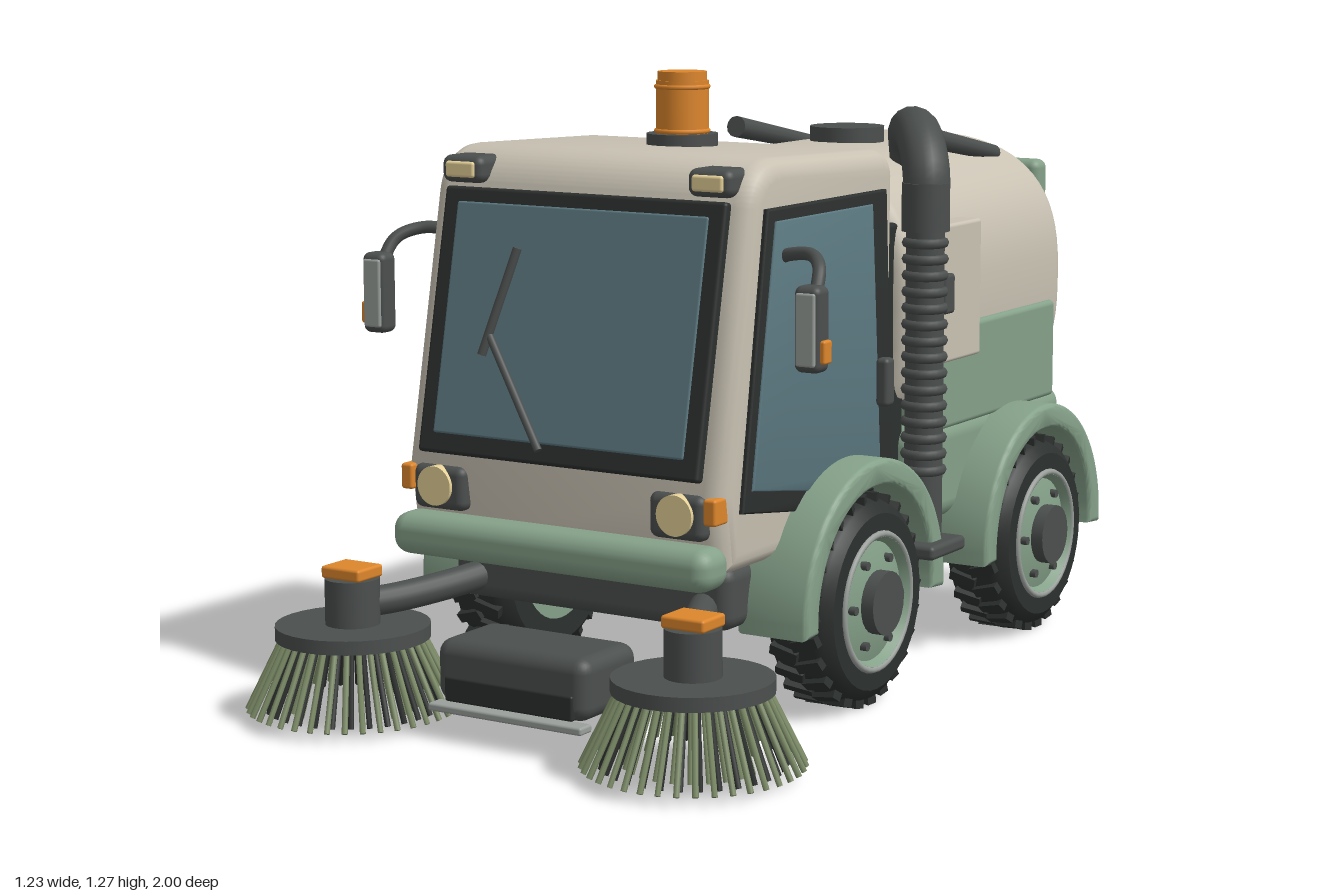
import * as THREE from 'three';
import { mergeGeometries, toCreasedNormals } from 'three/addons/utils/BufferGeometryUtils.js';
import { RoundedBoxGeometry } from 'three/addons/geometries/RoundedBoxGeometry.js';

const mat = (color) => new THREE.MeshStandardMaterial({ color });
const V = (x, y, z) => new THREE.Vector3(x, y, z);

export function createModel() {
  const root = new THREE.Group();
  const beige = mat(0xc9c2b3), panel = mat(0xa8a093), green = mat(0x85a189), dark = mat(0x4b4f4e);
  const black = mat(0x2c302e), glass = mat(0x5b7880), orange = mat(0xdd862c), cream = mat(0xe6d198);
  const red = mat(0xb03028), grey = mat(0x9a9f9b), bristle = mat(0x7d8c67);

  const add = (name, geo, m, x = 0, y = 0, z = 0, parent = root) => {
    const mesh = new THREE.Mesh(geo, m);
    mesh.name = name;
    mesh.position.set(x, y, z);
    parent.add(mesh);
    return mesh;
  };
  const group = (name, x, y, z) => {
    const g = new THREE.Group();
    g.name = name;
    g.position.set(x, y, z);
    root.add(g);
    return g;
  };
  const box = (name, m, w, h, d, x, y, z, r = 0.01, parent = root) =>
    add(name, new RoundedBoxGeometry(w, h, d, 3, r), m, x, y, z, parent);
  const disc = (name, m, r, h, x, y, z, parent = root) =>
    add(name, new THREE.CylinderGeometry(r, r, h, 32), m, x, y, z, parent);
  const rodGeo = (a, b, r0, r1 = r0, n = 12) => {
    const d = b.clone().sub(a);
    const g = new THREE.CylinderGeometry(r1, r0, d.length(), n);
    g.applyQuaternion(new THREE.Quaternion().setFromUnitVectors(V(0, 1, 0), d.normalize()));
    return g.translate(...a.clone().add(b).multiplyScalar(0.5).toArray());
  };
  const tube = (name, m, pts, r) =>
    add(name, new THREE.TubeGeometry(new THREE.CatmullRomCurve3(pts), 40, r, 16), m);
  const extrude = (shape, depth, bevel) => toCreasedNormals(new THREE.ExtrudeGeometry(shape, {
    depth: depth - 2 * bevel, bevelEnabled: bevel > 0, bevelThickness: bevel, bevelSize: bevel,
    bevelOffset: -bevel, bevelSegments: 4, curveSegments: 32,
  }).translate(0, 0, bevel - depth / 2), 0.6);
  // (z, y) outline extruded across x, centred
  const across = (shape, width, bevel) => extrude(shape, width, bevel).rotateY(-Math.PI / 2);
  const poly = (pts) => new THREE.Shape(pts.map(([a, b]) => new THREE.Vector2(a, b)));

  // Chassis
  box('chassis', dark, 0.66, 0.13, 1.38, 0, 0.275, -0.15, 0.03);
  box('bulkhead', black, 0.66, 0.66, 0.16, 0, 0.62, -0.09);

  // Cab shell with rounded roof edge
  const cab = new THREE.Shape();
  cab.moveTo(-0.04, 0.34);
  cab.lineTo(0.615, 0.34);
  cab.lineTo(0.64, 0.5);
  cab.lineTo(0.53, 1.04);
  cab.quadraticCurveTo(0.51, 1.125, 0.42, 1.128);
  cab.lineTo(0.01, 1.115);
  cab.quadraticCurveTo(-0.045, 1.11, -0.05, 1.06);
  add('cab', across(cab, 0.75, 0.04), beige);
  box('frontBumper', green, 0.75, 0.085, 0.1, 0, 0.362, 0.645, 0.035);

  // Windscreen and wiper, tilted with the cab front
  const screen = group('windscreen', 0, 0.787, 0.585);
  screen.rotation.x = -0.203;
  box('windscreenFrame', black, 0.66, 0.535, 0.03, 0, 0, 0, 0.008, screen);
  box('windscreenGlass', glass, 0.59, 0.465, 0.02, 0, 0.005, 0.008, 0.005, screen);
  add('wiperArm', rodGeo(V(-0.025, -0.24, 0.035), V(-0.17, -0.025, 0.035), 0.008), dark, 0, 0, 0, screen);
  add('wiperBlade', rodGeo(V(-0.183, -0.065, 0.035), V(-0.125, 0.15, 0.035), 0.009), dark, 0, 0, 0, screen);

  // Roof beacon
  disc('beaconBase', dark, 0.073, 0.03, 0, 1.13, 0.18);
  disc('beacon', orange, 0.054, 0.115, 0, 1.195, 0.18);
  disc('beaconCap', orange, 0.05, 0.03, 0, 1.256, 0.18);
  for (const y of [1.15, 1.24]) {
    add('beaconRing', new THREE.TorusGeometry(0.053, 0.005, 8, 32).rotateX(Math.PI / 2), orange, 0, y, 0.18);
  }

  // Hopper: barrel section with rounded ends
  const barrel = [];
  for (let i = 0; i < 72; i++) {
    const a = (i / 72) * Math.PI * 2, p = 2 / 2.7;
    const f = (v) => Math.sign(v) * Math.abs(v) ** p;
    barrel.push([0.367 * f(Math.cos(a)), 0.765 + 0.318 * f(Math.sin(a))]);
  }
  add('hopper', extrude(poly(barrel), 0.75, 0.035), beige, 0, 0, -0.495);
  disc('hopperLid', dark, 0.083, 0.05, 0, 1.09, -0.51);
  box('hopperSkirt', green, 0.755, 0.22, 0.62, 0, 0.605, -0.5, 0.012);
  box('lowerBody', green, 0.75, 0.22, 0.72, 0, 0.405, -0.507, 0.045);

  // Rear door and bumper
  const door = box('rearDoor', green, 0.61, 0.44, 0.06, 0, 0.805, -0.885, 0.02);
  box('rearDoorPanel', panel, 0.51, 0.36, 0.02, 0, 0, -0.028, 0.008, door);
  box('rearBumper', dark, 0.745, 0.075, 0.085, 0, 0.31, -0.957, 0.03);
  box('bumperMount', dark, 0.5, 0.06, 0.18, 0, 0.3, -0.86);

  // Half-ring arch and half-disc wheel well
  const arch = new THREE.Shape();
  arch.absarc(0, 0, 0.29, -0.08, Math.PI + 0.08, false);
  arch.absarc(0, 0, 0.237, Math.PI + 0.08, -0.08, true);
  const archGeo = across(arch, 0.16, 0.012);
  const well = new THREE.Shape();
  well.absarc(0, 0, 0.25, 0, Math.PI, false);
  const wellGeo = across(well, 0.1, 0);

  // Wheel parts, with the axle along x and the outside at +x
  const lathe = (pts) => toCreasedNormals(
    new THREE.LatheGeometry(pts.map(([r, x]) => new THREE.Vector2(r, x)), 40).rotateZ(-Math.PI / 2), 0.6);
  const tireGeo = lathe([[0.13, -0.075], [0.18, -0.075], [0.2, -0.06], [0.208, -0.04], [0.208, 0.04],
    [0.2, 0.06], [0.18, 0.075], [0.145, 0.075], [0.14, 0.05]]);
  const rimGeo = lathe([[0, -0.07], [0.135, -0.07], [0.143, 0.06], [0.143, 0.073], [0.132, 0.078],
    [0.122, 0.06], [0.08, 0.072], [0, 0.075]]);
  const lugs = [];
  for (let i = 0; i < 52; i++) {
    lugs.push(new THREE.BoxGeometry(0.06, 0.022, 0.022).rotateY(i % 2 ? 0.3 : -0.3)
      .translate(i % 2 ? 0.026 : -0.026, 0.208, 0).rotateX((i / 52) * Math.PI * 2));
  }
  const lugGeo = mergeGeometries(lugs);
  const side = (r, h) => new THREE.CylinderGeometry(r, r, h, 24).rotateZ(Math.PI / 2);

  // Broom bristles, splayed outwards in three rings
  const ring = (n, r0, r1, shift) => mergeGeometries(Array.from({ length: n }, (_, i) => {
    const a = ((i + shift) / n) * Math.PI * 2, c = Math.cos(a), s = Math.sin(a);
    return rodGeo(V(r0 * c, 0.175, r0 * s), V(r1 * c, 0.022, r1 * s), 0.006, 0.006, 6);
  }));
  const rings = [[ring(38, 0.135, 0.211, 0), bristle], [ring(30, 0.11, 0.175, 0.5), black], [ring(24, 0.08, 0.13, 0), bristle]];

  // Side glazing outlines as (z, y)
  const doorFrame = across(poly([[0.575, 0.46], [0.485, 1.035], [0.01, 1.035], [-0.025, 0.42], [0.3, 0.42]]), 0.03, 0.005);
  const doorGlass = across(poly([[0.545, 0.5], [0.46, 1.01], [0.075, 1.01], [0.035, 0.46], [0.3, 0.46]]), 0.03, 0.004);

  for (const s of [1, -1]) {
    // Cab sides and lamps
    add('doorFrame', doorFrame, black, s * 0.37, 0, 0);
    add('doorGlass', doorGlass, glass, s * 0.374, 0, 0);
    box('doorHandle', dark, 0.03, 0.1, 0.035, s * 0.402, 0.645, 0.045);
    box('roofLamp', dark, 0.1, 0.055, 0.09, s * 0.29, 1.085, 0.505, 0.018);
    box('roofLampLens', cream, 0.07, 0.032, 0.02, s * 0.29, 1.085, 0.545, 0.006);
    box('headlampHousing', dark, 0.125, 0.09, 0.05, s * 0.28, 0.457, 0.63, 0.018);
    disc('headlamp', cream, 0.04, 0.03, s * 0.283, 0.462, 0.648).rotation.x = Math.PI / 2;
    box('turnSignal', orange, 0.028, 0.052, 0.05, s * 0.357, 0.473, 0.63, 0.006);

    // Mirrors
    tube('mirrorArm', dark, [V(s * 0.37, 0.935, 0.42), V(s * 0.4, 0.945, 0.43), V(s * 0.46, 0.95, 0.45),
      V(s * 0.5, 0.93, 0.49), V(s * 0.512, 0.87, 0.53)], 0.013);
    box('mirror', dark, 0.056, 0.165, 0.05, s * 0.51, 0.822, 0.535, 0.015);
    box('mirrorFace', grey, 0.042, 0.14, 0.012, s * 0.51, 0.822, 0.557, 0.005);
    box('mirrorSignal', orange, 0.02, 0.045, 0.03, s * 0.537, 0.78, 0.535, 0.005);

    // Hopper sides, roof rails, steps
    box('sideHatch', beige, 0.06, 0.295, 0.23, s * 0.365, 0.792, -0.285, 0.008);
    box('hatchHandle', dark, 0.02, 0.085, 0.045, s * 0.4, 0.795, -0.228, 0.008);
    add('roofRail', rodGeo(V(s * 0.23, 1.11, -0.41), V(s * 0.23, 1.045, -0.78), 0.024, 0.018), dark);
    box('step', dark, 0.17, 0.03, 0.15, s * 0.405, 0.285, -0.08);

    // Rear lamps and door handles
    box('rearSignal', orange, 0.045, 0.07, 0.07, s * 0.3, 0.565, -0.878, 0.006);
    box('tailLamp', red, 0.055, 0.045, 0.05, s * 0.3, 0.478, -0.885, 0.006);
    box('rearDoorHandle', dark, 0.045, 0.13, 0.045, s * 0.275, 0.67, -0.935, 0.01);

    // Wheels and arches
    for (const z of [0.18, -0.595]) {
      add('wheelArch', archGeo, green, s * 0.385, 0.22, z);
      add('wheelWell', wellGeo, black, s * 0.33, 0.22, z);
      const wheel = group('wheel', s * 0.387, 0.22, z);
      if (s < 0) wheel.rotation.y = Math.PI;
      add('tire', tireGeo, black, 0, 0, 0, wheel);
      add('treadLugs', lugGeo, black, 0, 0, 0, wheel);
      add('rim', rimGeo, green, 0, 0, 0, wheel);
      add('rimRing', new THREE.TorusGeometry(0.138, 0.007, 8, 40).rotateY(Math.PI / 2), grey, 0.075, 0, 0, wheel);
      add('hub', side(0.065, 0.04), dark, 0.08, 0, 0, wheel);
      for (let i = 0; i < 6; i++) {
        const a = ((i + 0.5) / 6) * Math.PI * 2;
        add('wheelBolt', side(0.009, 0.02), dark, 0.07, 0.095 * Math.cos(a), 0.095 * Math.sin(a), wheel);
      }
    }

    // Side brooms on their arms
    const broom = group('sideBroom', s * 0.4, 0, 0.78);
    disc('broomDisc', dark, 0.155, 0.028, 0, 0.178, 0, broom);
    disc('broomMotor', dark, 0.055, 0.1, 0, 0.235, 0, broom);
    box('broomCap', orange, 0.095, 0.025, 0.08, 0, 0.298, 0, 0.006, broom);
    for (const [geo, m] of rings) add('bristles', geo, m, 0, 0, 0, broom);
    tube('broomArm', dark, [V(s * 0.24, 0.27, 0.45), V(s * 0.29, 0.25, 0.58), V(s * 0.35, 0.235, 0.7), V(s * 0.4, 0.23, 0.78)], 0.03);
  }

  // Suction nozzle
  box('nozzle', dark, 0.355, 0.125, 0.19, 0, 0.133, 0.715, 0.03);
  box('nozzleMouth', black, 0.3, 0.05, 0.02, 0, 0.1, 0.805, 0.005);
  box('nozzleLip', grey, 0.36, 0.016, 0.04, 0, 0.063, 0.81, 0.005);

  // Suction hose with ribs, collar and elbow into the hopper
  add('hosePipe', rodGeo(V(0.41, 0.28, -0.11), V(0.41, 1.0, -0.11), 0.04, 0.04, 24), dark);
  for (let y = 0.44; y < 0.95; y += 0.034) {
    add('hoseRib', new THREE.TorusGeometry(0.038, 0.011, 8, 24).rotateX(Math.PI / 2), dark, 0.41, y, -0.11);
  }
  disc('hoseCollar', dark, 0.05, 0.1, 0.41, 0.99, -0.11);
  tube('hoseElbow', dark, [V(0.41, 0.98, -0.11), V(0.405, 1.06, -0.12), V(0.365, 1.12, -0.17), V(0.3, 1.135, -0.26),
    V(0.24, 1.11, -0.36), V(0.22, 1.04, -0.41)], 0.049);
  return root;
}
